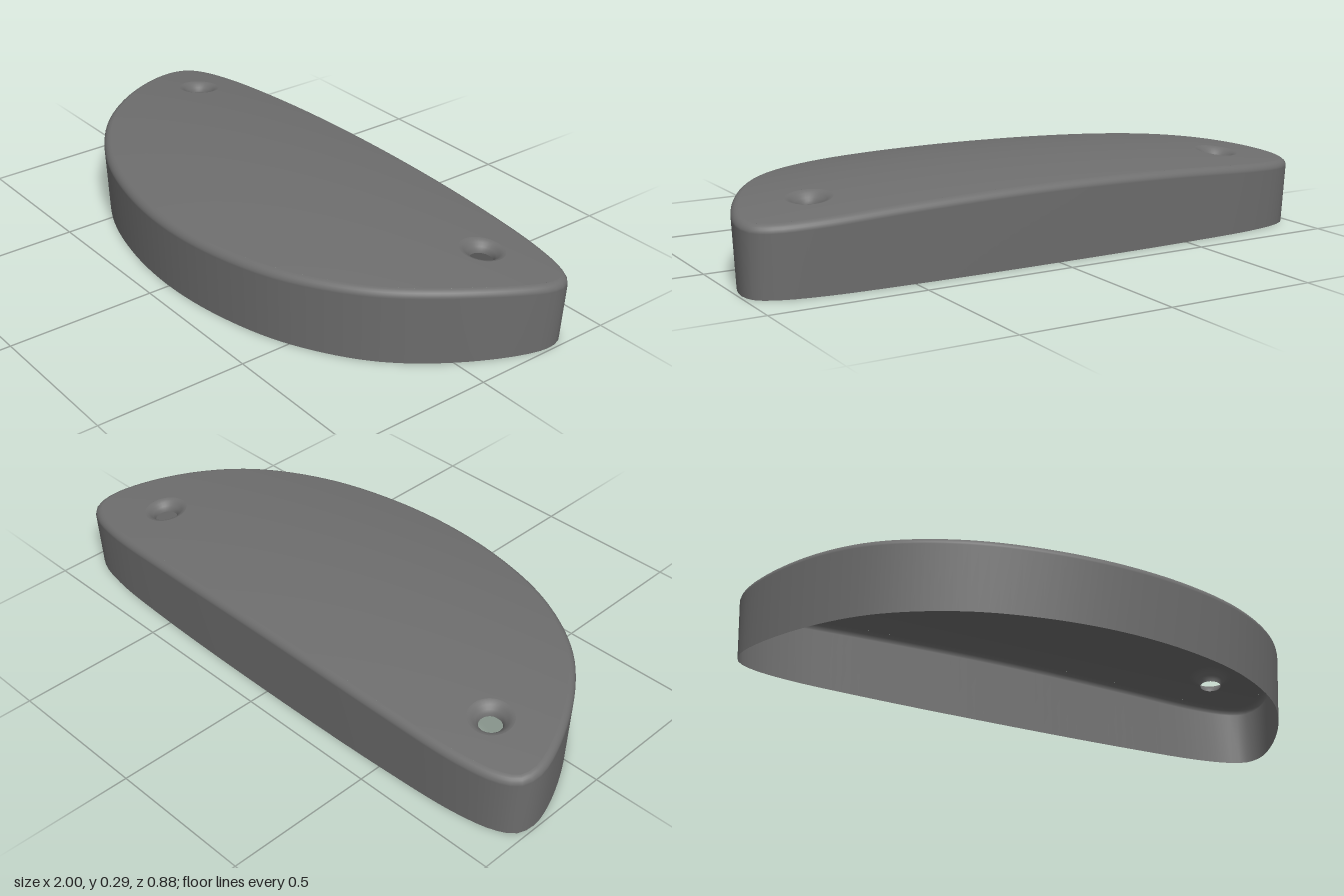
import * as THREE from 'three';

const SEGMENTS = 144;

// Height of the domed top at a plan position
const dome = (x, z) => 0.289 - 0.05 * x * x - 0.24 * (z + 0.04) ** 2;

// Right half of the plan outline as [x, z], from front middle to back middle
const HALF = [
  [0, 0.436], [0.26, 0.41], [0.5, 0.337], [0.72, 0.2], [0.86, 0.04], [0.968, -0.16],
  [1, -0.28], [0.984, -0.345], [0.93, -0.383], [0.8, -0.414], [0.5, -0.433], [0, -0.44],
];
const HOLES = [[-0.766, -0.232], [0.746, -0.22]];

// Evenly spaced outline points with their outward normals
function makeOutline() {
  const mirrored = HALF.slice(1, -1).reverse().map(([x, z]) => [-x, z]);
  const points = [...HALF, ...mirrored].map(([x, z]) => new THREE.Vector3(x, 0, z));
  const curve = new THREE.CatmullRomCurve3(points, true);
  return Array.from({ length: SEGMENTS }, (_, i) => {
    const p = curve.getPointAt(i / SEGMENTS);
    const t = curve.getTangentAt(i / SEGMENTS);
    return { x: p.x, z: p.z, nx: -t.z, nz: t.x };
  });
}

const inset = (p, d) => [p.x - p.nx * d, p.z - p.nz * d];

// Smooth skin through closed rings of [x, y, z] points
function loft(rings) {
  const n = rings[0].length;
  const index = [];
  for (let k = 0; k < rings.length - 1; k++) {
    for (let i = 0; i < n; i++) {
      const j = (i + 1) % n;
      const a = k * n + i, b = k * n + j, c = b + n, d = a + n;
      index.push(a, b, c, a, c, d);
    }
  }
  const geometry = new THREE.BufferGeometry();
  geometry.setAttribute('position', new THREE.Float32BufferAttribute(rings.flat(2), 3));
  geometry.setIndex(index);
  geometry.computeVertexNormals();
  return geometry;
}

// Split every triangle into four
function subdivide(triangles) {
  const mid = (p, q) => [(p[0] + q[0]) / 2, (p[1] + q[1]) / 2];
  return triangles.flatMap(([a, b, c]) => {
    const ab = mid(a, b), bc = mid(b, c), ca = mid(c, a);
    return [[a, ab, ca], [ab, b, bc], [ca, bc, c], [ab, bc, ca]];
  });
}

// Flat plan with holes, triangulated, refined and lifted onto the dome
function makeTop(rim, holeRims) {
  const toVectors = (ring) => ring.map(([x, z]) => new THREE.Vector2(x, -z));
  const shape = new THREE.Shape(toVectors(rim));
  shape.holes = holeRims.map((ring) => new THREE.Path(toVectors(ring)));
  const flat = new THREE.ShapeGeometry(shape).toNonIndexed().getAttribute('position');
  let triangles = [];
  for (let i = 0; i < flat.count; i += 3) {
    triangles.push([0, 1, 2].map((k) => [flat.getX(i + k), -flat.getY(i + k)]));
  }
  for (let level = 0; level < 3; level++) triangles = subdivide(triangles);

  const positions = [], normals = [];
  for (const [x, z] of triangles.flat()) {
    const n = new THREE.Vector3(0.1 * x, 1, 0.48 * (z + 0.04)).normalize();
    positions.push(x, dome(x, z), z);
    normals.push(n.x, n.y, n.z);
  }
  const geometry = new THREE.BufferGeometry();
  geometry.setAttribute('position', new THREE.Float32BufferAttribute(positions, 3));
  geometry.setAttribute('normal', new THREE.Float32BufferAttribute(normals, 3));
  return geometry;
}

export function createModel() {
  const group = new THREE.Group();
  group.name = 'shellCover';
  const material = new THREE.MeshStandardMaterial({ color: 0x6e6e6e, side: THREE.DoubleSide });
  material.name = 'darkGrey';
  const add = (name, geometry) => {
    const mesh = new THREE.Mesh(geometry, material);
    mesh.name = name;
    group.add(mesh);
  };

  // Drafted side wall, open below, with a rounded upper edge
  const outline = makeOutline();
  const radius = 0.022;
  const rings = [outline.map((p) => {
    const [x, z] = inset(p, 0.01);
    return [x, 0, z];
  })];
  for (let k = 0; k <= 6; k++) {
    const a = (k / 6) * Math.PI / 2;
    rings.push(outline.map((p) => {
      const [x, z] = inset(p, radius * (1 - Math.cos(a)));
      return [x, dome(x, z) - radius * (1 - Math.sin(a)), z];
    }));
  }
  add('sideWall', loft(rings));

  // Countersunk screw holes: [radius, depth] from rim to bottom
  const profile = [[0.072, 0], [0.064, 0.002], [0.055, 0.008], [0.045, 0.018], [0.039, 0.026], [0.037, 0.036]];
  const holeRims = HOLES.map(([cx, cz], h) => {
    const holeRings = profile.map(([r, depth]) => Array.from({ length: 32 }, (_, i) => {
      const a = (i / 32) * Math.PI * 2;
      const x = cx + r * Math.cos(a), z = cz - r * Math.sin(a);
      return [x, dome(x, z) - depth, z];
    }));
    add(h ? 'leftScrewHole' : 'rightScrewHole', loft(holeRings));
    return holeRings[0].map(([x, , z]) => [x, z]);
  });

  // Domed top plate
  add('domedTop', makeTop(outline.map((p) => inset(p, radius)), holeRims));
  return group;
}
